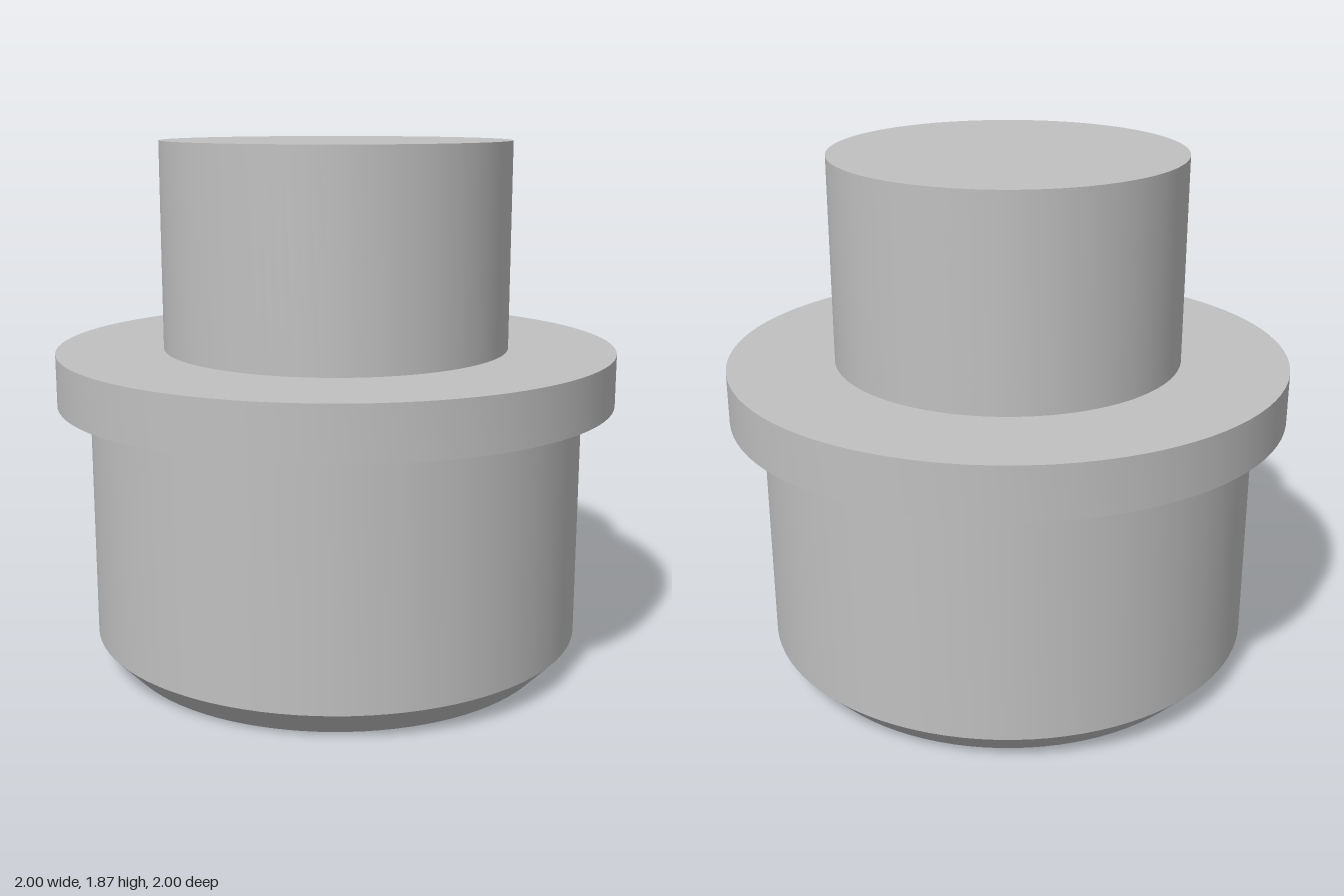
import * as THREE from 'three';
import { toCreasedNormals } from 'three/addons/utils/BufferGeometryUtils.js';

const SEGMENTS = 96;

// Turned surface from [radius, height] points, with sharp rims
function turned(profile, segments = SEGMENTS) {
  const points = profile.map(([r, y]) => new THREE.Vector2(r, y));
  return toCreasedNormals(new THREE.LatheGeometry(points, segments), 0.5);
}

export function createModel() {
  const group = new THREE.Group();
  const grey = new THREE.MeshStandardMaterial({ color: 0xc0c0c0 });
  grey.name = 'grey';

  const add = (name, geometry) => {
    const mesh = new THREE.Mesh(geometry, grey);
    mesh.name = name;
    group.add(mesh);
    return mesh;
  };

  const baseRadius = 0.79;
  const holeRadius = 0.1;
  const holeDepth = 0.085;
  const holePositions = [-1.5, -0.5, 0.5, 1.5].map((i) => i * 0.31);

  // Main barrel with a chamfered lower edge
  add('body', turned([[baseRadius, 0], [0.885, 0.1], [0.885, 0.95]]));

  // Wide collar
  add('flange', turned([[0.885, 0.95], [1, 0.95], [1, 1.135], [0.62, 1.135]]));

  // Narrow upper cylinder
  add('neck', turned([[0.62, 1.135], [0.62, 1.865], [0, 1.865]]));

  // Underside pierced by a row of holes
  const disc = new THREE.Shape().absarc(0, 0, baseRadius, 0, Math.PI * 2);
  for (const x of holePositions) {
    disc.holes.push(new THREE.Path().absarc(x, 0, holeRadius, 0, Math.PI * 2, true));
  }
  add('underside', new THREE.ShapeGeometry(disc, SEGMENTS / 2).rotateX(Math.PI / 2));

  // Shallow blind holes, facing inwards
  const holeGeometry = turned([[0, holeDepth], [holeRadius, holeDepth], [holeRadius, 0]], 48);
  for (const x of holePositions) add('hole', holeGeometry).position.x = x;

  return group;
}
